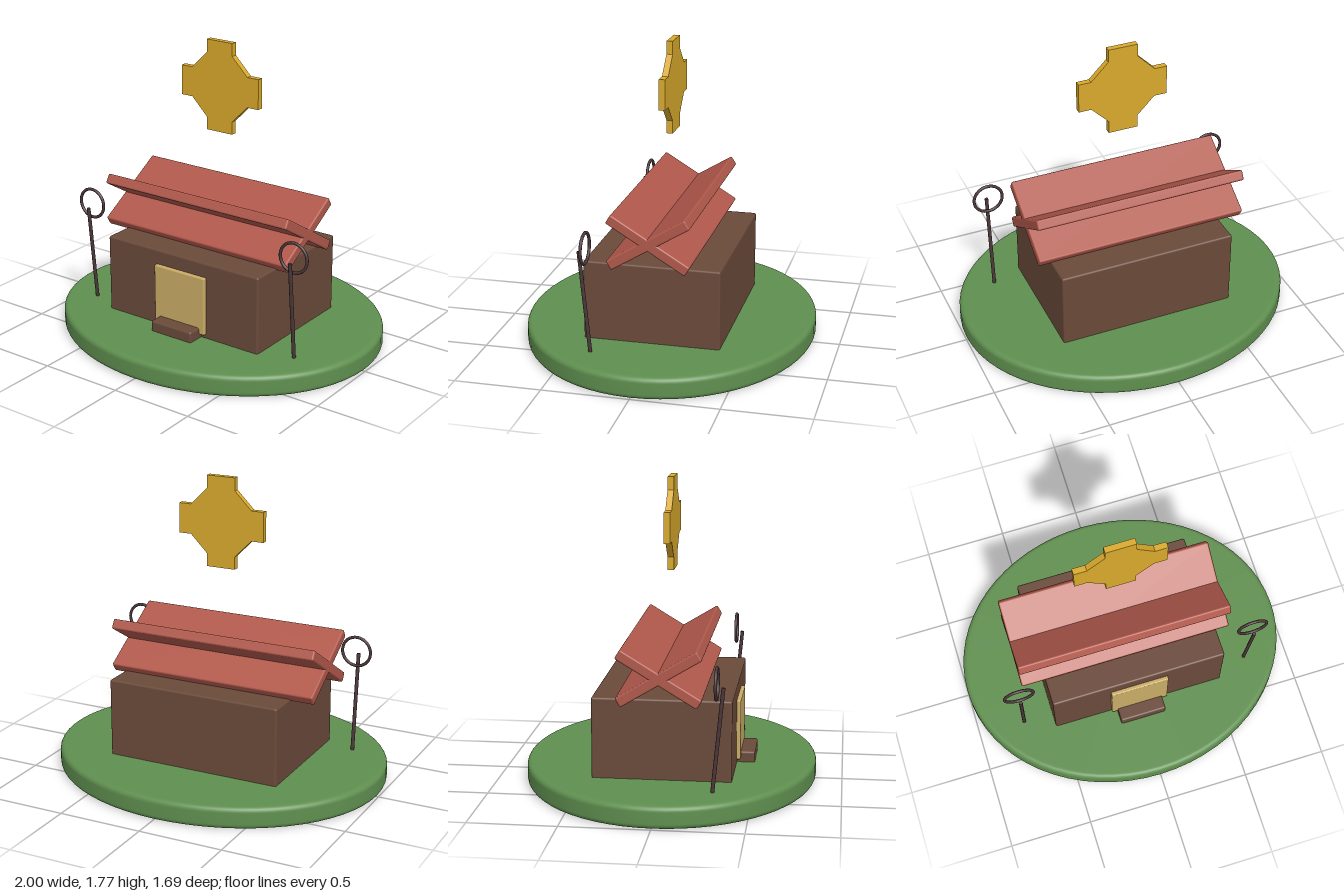
import * as THREE from 'three';
import { RoundedBoxGeometry } from 'three/addons/geometries/RoundedBoxGeometry.js';

function material(name, color) {
  const m = new THREE.MeshStandardMaterial({ color });
  m.name = name;
  return m;
}

export function createModel() {
  const model = new THREE.Group();
  const grass = material('grass green', 0x5f8f4f);
  const wood = material('wood brown', 0x6a4a3a);
  const tile = material('roof red', 0xb0584b);
  const straw = material('door tan', 0xc9ab66);
  const gold = material('gold', 0xd9a92c);
  const iron = material('dark iron', 0x4a3638);

  const add = (name, geometry, mat, x = 0, y = 0, z = 0) => {
    const mesh = new THREE.Mesh(geometry, mat);
    mesh.name = name;
    mesh.position.set(x, y, z);
    model.add(mesh);
    return mesh;
  };
  // Softly rounded box given by its min and max corners
  const block = (name, mat, [x0, y0, z0], [x1, y1, z1], r) =>
    add(name, new RoundedBoxGeometry(x1 - x0, y1 - y0, z1 - z0, 3, r), mat,
      (x0 + x1) / 2, (y0 + y1) / 2, (z0 + z1) / 2);

  // Oval ground disc with a rounded rim
  const h = 0.127, r = 0.03;
  const rim = [new THREE.Vector2(0, 0), new THREE.Vector2(0.96, 0)];
  for (let i = 0; i <= 6; i++) {
    const a = -Math.PI / 2 + (i / 6) * Math.PI / 2;
    rim.push(new THREE.Vector2(1 - r + r * Math.cos(a), r + r * Math.sin(a)));
  }
  for (let i = 0; i <= 6; i++) {
    const a = (i / 6) * Math.PI / 2;
    rim.push(new THREE.Vector2(1 - r + r * Math.cos(a), h - r + r * Math.sin(a)));
  }
  rim.push(new THREE.Vector2(0.96, h), new THREE.Vector2(0, h));
  add('ground', new THREE.LatheGeometry(rim, 64), grass).scale.z = 0.847;

  // House body, door and doorstep
  block('walls', wood, [-0.535, 0.11, -0.395], [0.53, 0.59, 0.392], 0.012);
  block('door', straw, [-0.18, 0.15, 0.38], [0.175, 0.503, 0.415], 0.008);
  block('doorstep', wood, [-0.145, 0.115, 0.38], [0.14, 0.19, 0.496], 0.012);

  // Two crossed roof slabs
  for (const side of [-1, 1]) {
    const slab = add('roofSlab', new RoundedBoxGeometry(1.285, 0.06, 0.525, 3, 0.01), tile,
      -0.037, 0.737, 0);
    slab.rotation.x = side * 0.545;
  }

  // Floating star: long upright arms with short diagonal arms between them
  const quarter = [[0.267, -0.088], [0.267, 0.088], [0.192, 0.088], [0.202, 0.078],
    [0.078, 0.202], [0.088, 0.192]];
  const outline = [];
  for (let i = 0; i < 4; i++) {
    // The diagonal end is cut where it meets the upright arms
    for (const j of [0, 1, 2, 5]) {
      outline.push(new THREE.Vector2(...quarter[j])
        .rotateAround(new THREE.Vector2(), i * Math.PI / 2));
    }
  }
  const star = new THREE.ExtrudeGeometry(new THREE.Shape(outline),
    { depth: 0.036, bevelEnabled: false });
  star.translate(0, 0, -0.018);
  add('star', star, gold, -0.002, 1.503, 0);

  // Leaning posts, each with an upright ring near the top
  for (const side of [-1, 1]) {
    const bottom = new THREE.Vector3(side * 0.715, 0.115, 0.3);
    const top = new THREE.Vector3(side * 0.715, 0.713, 0.358);
    const dir = top.clone().sub(bottom);
    const post = add('post', new THREE.CylinderGeometry(0.011, 0.011, dir.length(), 12), iron);
    post.position.copy(bottom).add(top).multiplyScalar(0.5);
    post.quaternion.setFromUnitVectors(new THREE.Vector3(0, 1, 0), dir.normalize());
    add('ring', new THREE.TorusGeometry(0.087, 0.009, 10, 40), iron, side * 0.715, 0.735, 0.322);
  }

  return model;
}
